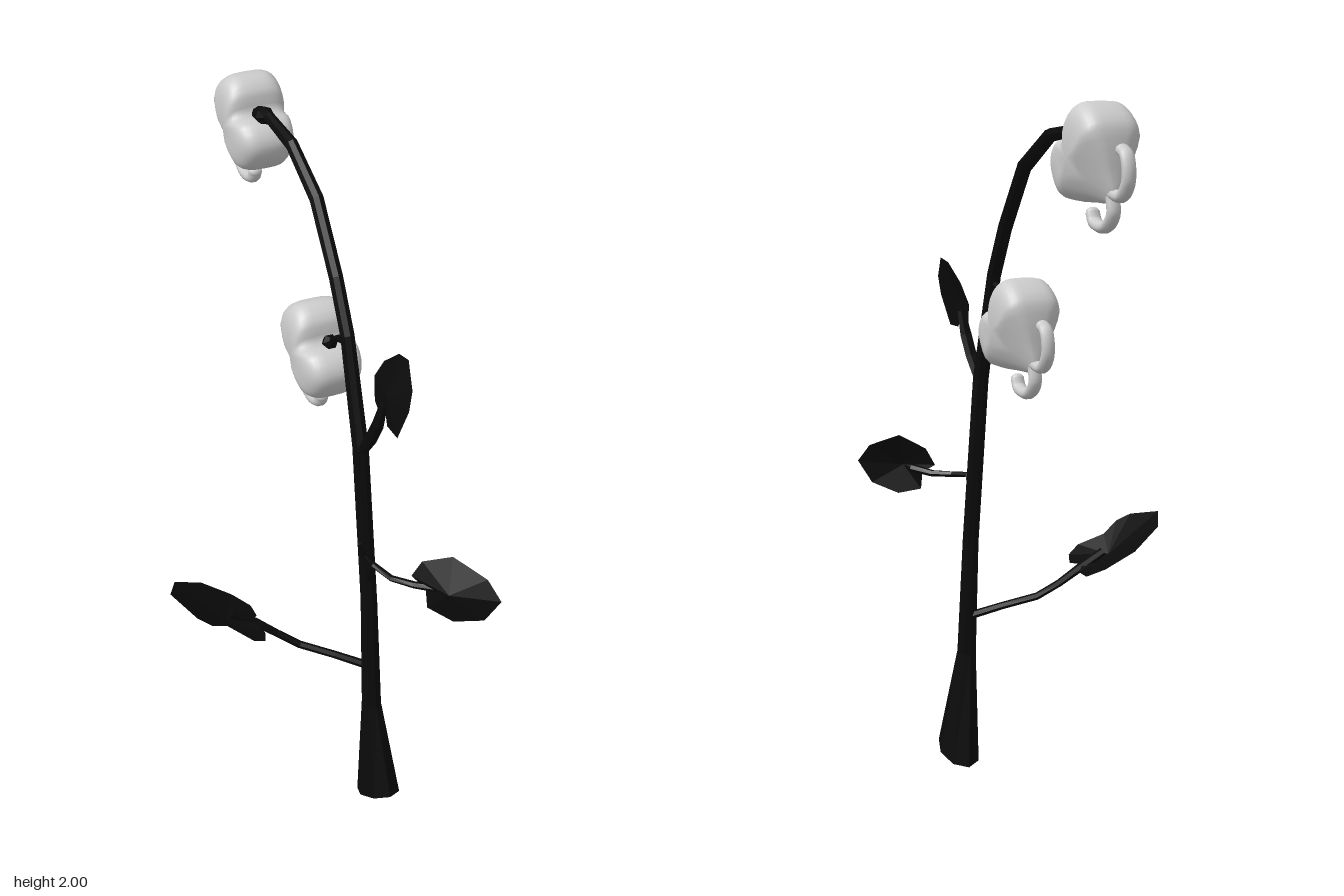
import * as THREE from 'three';
import { mergeVertices } from 'three/addons/utils/BufferGeometryUtils.js';

const black = new THREE.MeshStandardMaterial({ color: 0x0a0a0a, flatShading: true, side: THREE.DoubleSide });
black.name = 'stem black';
const white = new THREE.MeshStandardMaterial({ color: 0xcccccc });
white.name = 'petal white';

function mesh(name, geometry, material) {
  const m = new THREE.Mesh(geometry, material);
  m.name = name;
  return m;
}

function build(positions, index) {
  const g = new THREE.BufferGeometry();
  g.setAttribute('position', new THREE.Float32BufferAttribute(positions, 3));
  g.setIndex(index);
  g.computeVertexNormals();
  return g;
}

// Tapered branch through rows of [x, y, z, radius, optional sideways scale]
function branch(rows, sides = 8) {
  const pts = rows.map(r => new THREE.Vector3(r[0], r[1], r[2]));
  const n = pts.length, pos = [], idx = [];
  const span = pts[n - 1].clone().sub(pts[0]).normalize();
  const ref = Math.abs(span.x) > 0.6 ? new THREE.Vector3(0, 0, 1) : new THREE.Vector3(1, 0, 0);
  pts.forEach((p, i) => {
    const t = pts[Math.min(i + 1, n - 1)].clone().sub(pts[Math.max(i - 1, 0)]).normalize();
    const a = ref.clone().addScaledVector(t, -ref.dot(t)).normalize();
    const b = t.clone().cross(a);
    for (let k = 0; k < sides; k++) {
      const q = k / sides * Math.PI * 2;
      const v = p.clone().addScaledVector(a, Math.cos(q) * rows[i][3] * (rows[i][4] || 1))
        .addScaledVector(b, Math.sin(q) * rows[i][3]);
      pos.push(v.x, v.y, v.z);
    }
  });
  for (let i = 0; i < n - 1; i++) for (let k = 0; k < sides; k++) {
    const a = i * sides + k, b = i * sides + (k + 1) % sides;
    idx.push(a, b, b + sides, a, b + sides, a + sides);
  }
  for (let k = 1; k < sides - 1; k++) {
    const e = (n - 1) * sides;
    idx.push(0, k + 1, k, e, e + k, e + k + 1);
  }
  return build(pos, idx);
}

// Leaf blade: a shallow fan over a 2D outline, placed in space by a rule
function leaf(outline, place, dip) {
  const pts = outline.map(([a, b]) => place(a, b));
  const mid = pts.reduce((s, p) => s.add(p), new THREE.Vector3()).divideScalar(pts.length).add(dip);
  const idx = pts.map((_, i) => [0, i + 1, (i + 1) % pts.length + 1]).flat();
  return build([mid, ...pts].flatMap(p => p.toArray()), idx);
}

// Heart-shaped bloom; local y runs across the lobes, -z towards the tip
function bloom() {
  const g = new THREE.Group();
  const half = [[-0.034, 0.041], [-0.037, 0.083], [-0.019, 0.116], [0.022, 0.135], [0.078, 0.139],
    [0.12, 0.112], [0.176, 0.056], [0.205, 0.028]];
  const loop = [[0, 0], ...half, [0.222, 0], ...half.map(([u, v]) => [u, -v]).reverse()];
  const curve = new THREE.CatmullRomCurve3(loop.map(([u, v]) => new THREE.Vector3(0, v, -u)), true);
  let geo = new THREE.SphereGeometry(1, 40, 20);
  const p = geo.attributes.position;
  for (let i = 0; i < p.count; i++) {
    const y = p.getY(i);
    let t = Math.atan2(p.getZ(i), p.getX(i)) / (Math.PI * 2);
    if (t < 0) t += 1;
    const edge = curve.getPoint(t);
    const s = Math.pow(Math.max(0, 1 - y * y), 0.27);
    const v = edge.y * s, z = -0.07 + (edge.z + 0.07) * s;
    const width = THREE.MathUtils.lerp(0.091, 0.02, THREE.MathUtils.clamp((-z - 0.09) / 0.12, 0, 1));
    p.setXYZ(i, Math.sign(y) * Math.pow(Math.abs(y), 0.55) * width, v, z);
  }
  geo.deleteAttribute('uv');
  geo.deleteAttribute('normal');
  geo = mergeVertices(geo, 1e-5);
  geo.computeVertexNormals();
  g.add(mesh('heartPetals', geo, white));

  // Two curled petal tips, mirrored
  const curl = [[0.2, 0.004], [0.236, 0.034], [0.236, 0.078], [0.213, 0.108], [0.179, 0.125], [0.155, 0.118]];
  for (const side of [1, -1]) {
    const path = new THREE.CatmullRomCurve3(curl.map(([u, v]) => new THREE.Vector3(0, v * side, -u)));
    const tube = mesh('curledTip', new THREE.TubeGeometry(path, 24, 0.016, 10), white);
    const end = mesh('curledTipEnd', new THREE.SphereGeometry(0.016, 10, 8), white);
    end.position.set(0, 0.118 * side, -0.155);
    tube.scale.x = end.scale.x = 1.25;
    g.add(tube, end);
  }
  g.rotation.x = -Math.PI / 4;
  return g;
}

export function createModel() {
  const model = new THREE.Group();

  // Arching main stem with a flared, slanted foot
  const stem = branch([
    [0.18, 0.035, 0.375, 0.08, 0.74], [0.167, 0.35, 0.338, 0.032, 0.9], [0.164, 0.7, 0.308, 0.027, 0.9],
    [0.152, 1.19, 0.253, 0.026, 0.9], [0.148, 1.5, 0.163, 0.021], [0.148, 1.64, 0.085, 0.021],
    [0.148, 1.815, -0.045, 0.021], [0.148, 1.905, -0.21, 0.019], [0.148, 1.922, -0.365, 0.016],
    [0.148, 1.912, -0.395, 0.028], [0.148, 1.9, -0.445, 0.022]]);
  const sp = stem.attributes.position;
  for (let i = 0; i < sp.count; i++) {
    if (sp.getY(i) < 0.1) sp.setY(i, 0.035 + (0.375 - sp.getZ(i)) * -0.42);
  }
  stem.computeVertexNormals();
  model.add(mesh('mainStem', stem, black));

  // Stalks
  const stalks = {
    flowerStalk: [[0.148, 1.475, 0.155, 0.01], [0.148, 1.462, 0.105, 0.01], [0.148, 1.435, 0.07, 0.01],
      [0.148, 1.425, 0.058, 0.022], [0.148, 1.405, 0.03, 0.015]],
    upperLeafStalk: [[0.152, 1.18, 0.255, 0.017], [0.158, 1.25, 0.305, 0.018], [0.162, 1.31, 0.335, 0.018],
      [0.17, 1.38, 0.35, 0.012]],
    middleLeafStalk: [[0.16, 0.78, 0.315, 0.009], [0.142, 0.84, 0.355, 0.009], [0.138, 0.883, 0.385, 0.009],
      [0.16, 0.875, 0.45, 0.009], [0.205, 0.873, 0.5, 0.01], [0.25, 0.885, 0.555, 0.012]],
    tendril: [[0.138, 0.88, 0.382, 0.009], [0.115, 0.91, 0.365, 0.008], [0.1, 0.955, 0.367, 0.005]],
    lowerLeafStalk: [[0.16, 0.47, 0.31, 0.012], [0.08, 0.5, 0.265, 0.011], [-0.01, 0.53, 0.215, 0.011],
      [-0.07, 0.57, 0.187, 0.011], [-0.13, 0.615, 0.168, 0.013], [-0.2, 0.66, 0.155, 0.013]]
  };
  for (const [name, rows] of Object.entries(stalks)) model.add(mesh(name, branch(rows, 6), black));

  // Heart-shaped leaves
  const upper = [[0.4, 1.535], [0.345, 1.525], [0.28, 1.47], [0.25, 1.41], [0.285, 1.355], [0.335, 1.335],
    [0.36, 1.35], [0.38, 1.33], [0.445, 1.33], [0.468, 1.42], [0.458, 1.475]];
  model.add(mesh('upperLeaf', leaf(upper,
    (z, y) => new THREE.Vector3(0.165 + 0.23 * (y - 1.33) - 0.03 * (z - 0.445), y, z),
    new THREE.Vector3(-0.018, 0, 0)), black));

  const middle = [[0.692, 0.895], [0.65, 0.948], [0.565, 0.987], [0.505, 0.95], [0.492, 0.9], [0.53, 0.873],
    [0.545, 0.82], [0.608, 0.8], [0.67, 0.828]];
  model.add(mesh('middleLeaf', leaf(middle,
    (z, y) => new THREE.Vector3(0.22 + 0.87 * (z - 0.5) + 0.265 * (y - 0.95), y, z),
    new THREE.Vector3(-0.018, 0, 0.018)), black));

  const lower = [[-0.378, 0.142], [-0.332, 0.055], [-0.234, 0.015], [-0.15, 0.04], [-0.107, 0.08],
    [-0.111, 0.135], [-0.136, 0.164], [-0.125, 0.229], [-0.147, 0.28], [-0.187, 0.298], [-0.249, 0.247],
    [-0.303, 0.269], [-0.339, 0.247]];
  model.add(mesh('lowerLeaf', leaf(lower,
    (x, z) => new THREE.Vector3(x, 0.615 - 0.6 * (x + 0.12), z),
    new THREE.Vector3(-0.01, -0.025, 0)), black));

  // Two matching blooms
  [['upperFlower', 1.905, -0.439], ['lowerFlower', 1.413, 0.032]].forEach(([name, y, z]) => {
    const f = bloom();
    f.name = name;
    f.position.set(0.148, y, z);
    model.add(f);
  });
  return model;
}
